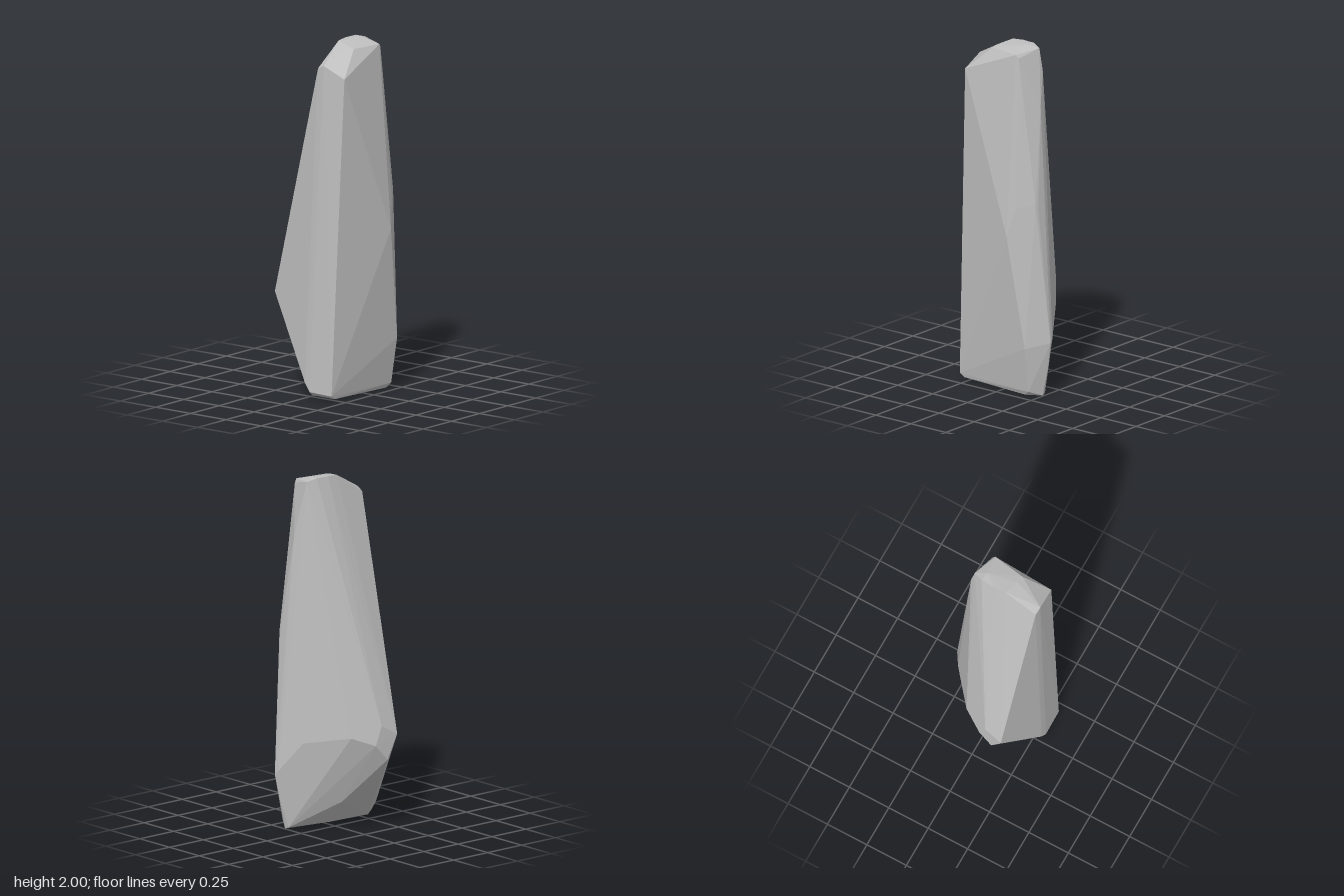
import * as THREE from 'three';
import { ConvexGeometry } from 'three/addons/geometries/ConvexGeometry.js';

export function createModel() {
  const group = new THREE.Group();
  group.name = 'standingStone';
  const stoneGrey = new THREE.MeshStandardMaterial({ color: 0xbebebe, flatShading: true });
  stoneGrey.name = 'stone grey';

  // Corners of the faceted stone, grouped by height
  const crown = [
    [0.04, 1.995, 0.05], [0.035, 2, -0.02], [0.04, 2, -0.1], [0.06, 1.985, -0.155],
    [0.09, 2, -0.09], [0.13, 1.98, 0.08], [0.175, 1.97, 0.085],
    [0.205, 1.97, -0.105], [0.2, 1.95, -0.12],
  ];
  const shoulder = [
    [0.045, 1.87, 0.24], [0.09, 1.89, 0.245], [0.23, 1.83, 0.237],
    [0.055, 1.86, -0.175], [0.11, 1.67, -0.205],
  ];
  const waist = [
    [0.287, 0.93, -0.105], [0.258, 1.1, -0.15], [0.195, 1.12, -0.238], [0.18, 1.1, -0.245],
  ];
  const belly = [
    [-0.29, 0.55, 0.205], [-0.28, 0.61, 0.1], [-0.276, 0.5, 0.06], [-0.283, 0.41, 0.14],
    [-0.205, 0.55, -0.06], [0.005, 0.51, -0.23],
    [0.13, 0.34, -0.305], [0.152, 0.32, -0.31], [0.25, 0.29, -0.205],
  ];
  const foot = [
    [0, 0.09, 0.302], [0.04, 0.04, 0.308], [0.193, 0.035, 0.305],
    [0.03, 0.015, 0.27], [0.19, 0.015, 0.275], [0.045, 0.015, 0],
    [-0.085, 0.16, -0.02], [0.08, 0.02, -0.16], [0.14, 0.18, -0.285],
    [0.212, 0.03, -0.2], [0.2, 0.005, -0.17], [0.14, 0, -0.245], [0.115, 0.01, -0.24],
  ];

  const corners = [...crown, ...shoulder, ...waist, ...belly, ...foot]
    .map((p) => new THREE.Vector3(...p));
  const stone = new THREE.Mesh(new ConvexGeometry(corners), stoneGrey);
  stone.name = 'stone';
  group.add(stone);
  return group;
}
